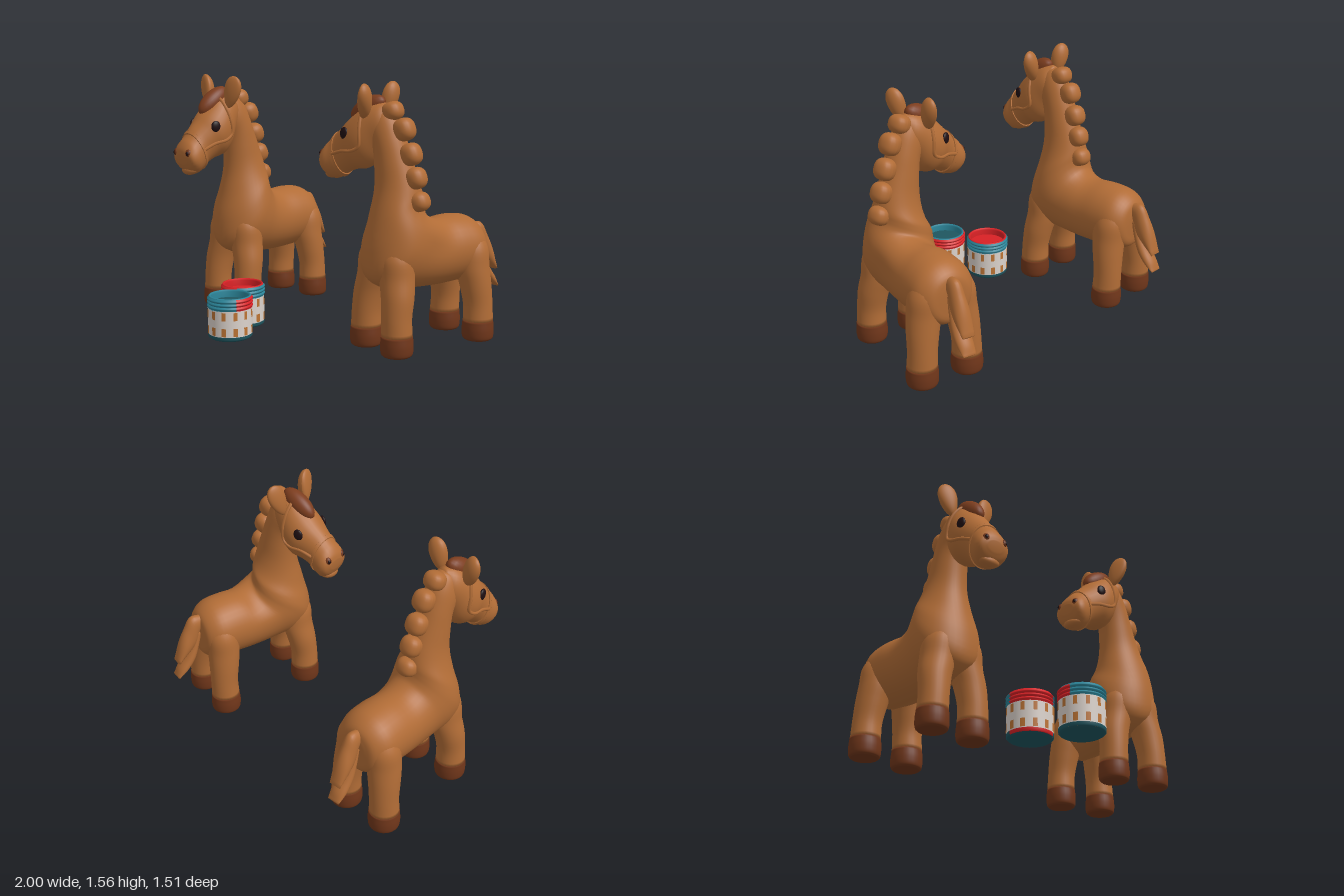
import * as THREE from 'three';

const paint = (name, hex) => {
  const m = new THREE.MeshStandardMaterial({ color: hex });
  m.name = name;
  return m;
};

// Curves through sections [topZ, topY, bottomZ, bottomY, halfWidth, centreX]
function sectionCurves(sections) {
  const top = new THREE.CatmullRomCurve3(sections.map(s => new THREE.Vector3(s[4], s[1], s[0])));
  const low = new THREE.CatmullRomCurve3(sections.map(s => new THREE.Vector3(s[5] || 0, s[3], s[2])));
  return { top, low };
}

// Point on a lofted skin: u along it, a around it (0 = top, PI = bottom)
function skinPoint({ top, low }, u, a, scale = 1) {
  const t = top.getPoint(u), b = low.getPoint(u);
  const c = Math.cos(a) * scale / 2;
  return new THREE.Vector3(
    b.x + Math.sin(a) * t.x * scale,
    (t.y + b.y) / 2 + c * (t.y - b.y),
    (t.z + b.z) / 2 + c * (t.z - b.z));
}

// Closed smooth skin over oval sections; optional bend moves each point
function loft(sections, { from = 0, to = 1, scale = 1, bend, sides = 28 } = {}) {
  const curves = sectionCurves(sections), steps = sections.length * 4, pos = [], idx = [];
  for (let i = -1; i <= steps + 1; i++) {
    const u = from + (to - from) * Math.min(Math.max(i, 0), steps) / steps;
    const s = i < 0 || i > steps ? 0 : scale;
    for (let j = 0; j < sides; j++) {
      const p = skinPoint(curves, u, j / sides * Math.PI * 2, s);
      if (bend) bend(p);
      pos.push(p.x, p.y, p.z);
    }
  }
  for (let i = 0; i < steps + 2; i++) for (let j = 0; j < sides; j++) {
    const a = i * sides + j, b = i * sides + (j + 1) % sides;
    idx.push(a, a + sides, b, b, a + sides, b + sides);
  }
  // Turn the faces outward whichever way the sections run
  const at = k => new THREE.Vector3().fromArray(pos, k * 3);
  let volume = 0;
  for (let k = 0; k < idx.length; k += 3) volume += at(idx[k]).dot(at(idx[k + 1]).cross(at(idx[k + 2])));
  if (volume < 0) idx.reverse();
  const g = new THREE.BufferGeometry();
  g.setAttribute('position', new THREE.Float32BufferAttribute(pos, 3));
  g.setIndex(idx);
  g.computeVertexNormals();
  return g;
}

function add(parent, name, geo, mat, p = [0, 0, 0], r = [0, 0, 0], s = [1, 1, 1]) {
  const m = new THREE.Mesh(geo, mat);
  m.name = name;
  m.position.set(...p); m.rotation.set(...r); m.scale.set(...s);
  parent.add(m);
}

// Unit ball with its points moved by a rule
function shapedBall(rule) {
  const g = new THREE.SphereGeometry(1, 24, 16), p = g.attributes.position, v = new THREE.Vector3();
  for (let i = 0; i < p.count; i++) {
    rule(v.fromBufferAttribute(p, i));
    p.setXYZ(i, v.x, v.y, v.z);
  }
  g.computeVertexNormals();
  return g;
}

// Group that turns its contents about a point
function pivot(parent, name, p, rx, ry) {
  const outer = new THREE.Group(), inner = new THREE.Group();
  outer.name = name;
  outer.position.set(...p); outer.rotation.set(rx, ry, 0);
  inner.position.set(-p[0], -p[1], -p[2]);
  outer.add(inner); parent.add(outer);
  return inner;
}

const AXIS = 0.03; // z of the upright axis the neck turns about

const TRUNK = [
  [-.575, .62, -.575, .48, .06], [-.555, .69, -.565, .40, .135], [-.48, .745, -.5, .36, .188],
  [-.36, .76, -.36, .35, .195], [-.22, .755, -.2, .345, .19], [-.145, .79, -.02, .355, .195],
  [-.125, .83, .14, .375, .21], [-.12, .865, .23, .44, .212], [-.118, .9, .238, .6, .192],
  [-.11, .95, .2, .78, .15], [-.09, 1.02, .175, .92, .122], [-.045, 1.14, .175, 1.06, .108],
  [0, 1.26, .19, 1.17, .1], [.05, 1.37, .24, 1.25, .09], [.11, 1.43, .26, 1.32, .065], [.16, 1.43, .24, 1.38, .03]];

const HEAD = [
  [.55, 1.06, .535, 1.0, .05], [.545, 1.1, .505, .955, .096], [.525, 1.14, .455, .93, .11],
  [.495, 1.175, .405, .95, .106], [.465, 1.215, .365, .985, .102], [.425, 1.26, .3, 1.02, .116],
  [.385, 1.31, .23, 1.04, .135], [.335, 1.36, .18, 1.09, .135], [.28, 1.41, .14, 1.18, .115],
  [.2, 1.44, .1, 1.27, .085], [.14, 1.44, .1, 1.36, .03]];

const TAIL_UPPER = [
  [-.54, .68, -.55, .58, .035], [-.62, .685, -.57, .56, .042], [-.67, .61, -.595, .49, .048],
  [-.712, .52, -.65, .44, .052], [-.75, .39, -.735, .375, .04]];
const TAIL_LOWER = [
  [-.6, .6, -.56, .55, .035], [-.645, .48, -.585, .47, .045], [-.69, .4, -.62, .38, .052],
  [-.738, .33, -.68, .31, .052], [-.76, .275, -.75, .265, .042]];

// Leg section at height y: centre x and z, radius
const ring = (y, x, z, r) => [z + r, y, z - r, y, r, x];

function makeHorse(mats, yaw, turn, pitch) {
  const { coat, hoof, hair, dark } = mats;
  const horse = new THREE.Group();
  horse.rotation.y = yaw;
  const body = new THREE.Group();
  body.name = 'body';
  body.position.z = -AXIS;
  horse.add(body);

  // Trunk and neck in one skin, the neck twisting with height ahead of the back
  const step = THREE.MathUtils.smoothstep;
  add(body, 'trunkAndNeck', loft(TRUNK, {
    sides: 36,
    bend: p => {
      const a = turn * step(p.y, .58, .95) * step(p.z, -.3, -.06 - .1 * step(p.y, .75, .9));
      const x = p.x, z = p.z - AXIS;
      p.x = x * Math.cos(a) + z * Math.sin(a);
      p.z = AXIS - x * Math.sin(a) + z * Math.cos(a);
    }
  }), coat);
  add(body, 'tailUpperLock', loft(TAIL_UPPER), coat);
  add(body, 'tailLowerLock', loft(TAIL_LOWER), coat);

  // Legs and hooves
  for (const side of [-1, 1]) for (const [name, x, z, lean, inset] of [['front', .145, .142, -.03, .042], ['hind', .152, -.482, .025, .034]]) {
    const X = x * side, top = (x - inset) * side;
    add(body, name + 'Hoof', loft([ring(0, X, z, .08), ring(.012, X, z, .092),
      ring(.06, X, z, .097), ring(.12, X, z, .092)]), hoof);
    add(body, name + 'Leg', loft([ring(.118, X, z, .091), ring(.22, X * .97, z, .089), ring(.34, X * .89, z + lean / 2, .097),
      ring(.45, top, z + lean, .104), ring(.57, top * .88, z + lean, .1), ring(.69, top * .65, z + lean, .05)]), coat);
  }

  const neck = pivot(body, 'neckTurn', [0, 0, AXIS], 0, turn);
  const ball = new THREE.SphereGeometry(1, 24, 16);

  // Mane of cushion-shaped tufts
  const cushion = shapedBall(v => v.divideScalar((Math.abs(v.x) ** 2.5 + Math.abs(v.y) ** 2.5 + Math.abs(v.z) ** 2.5) ** .4));
  for (const [y, z, r] of [[.885, -.12, .057], [1.02, -.095, .064], [1.155, -.06, .066], [1.295, -.012, .067], [1.395, .07, .056]])
    add(neck, 'maneTuft', cushion, coat, [0, y, z], [.35, 0, 0], [.064, r, .061]);

  // Head
  const head = pivot(neck, 'head', [0, 1.12, .15], -pitch, 0);
  add(head, 'skull', loft(HEAD), coat);
  add(head, 'lowerLip', ball, coat, [0, .965, .47], [.5, 0, 0], [.07, .035, .05]);
  add(head, 'forelock', ball, hair, [0, 1.387, .28], [.62, 0, 0], [.06, .066, .13]);
  add(head, 'noseband', loft(HEAD, { from: .33, to: .375, scale: 1.06 }), coat);

  // Cupped ear, broad near the tip
  const ear = shapedBall(v => {
    v.x *= 1 + .28 * v.y;
    if (v.z > 0) v.z *= .5;
  });

  const skin = sectionCurves(HEAD);
  for (const s of [-1, 1]) {
    add(head, 'ear', ear, coat, [s * .13, 1.447, .232], [0, s * .25, -s * .28], [.057, .106, .052]);
    add(head, 'eye', ball, dark, [s * .116, 1.235, .352], [0, -s * .25, 0], [.015, .036, .031]);
    add(head, 'nostril', ball, hoof, [s * .064, 1.075, .534], [-.25, s * .6, 0], [.02, .024, .014]);
    add(head, 'nostrilHole', ball, dark, [s * .066, 1.073, .542], [-.25, s * .6, 0], [.011, .014, .01]);
    // Halter strap from the noseband along the cheek and up behind the ear
    const path = [[3.6, 1.5], [5, 1.68], [6.2, 1.85], [7, 1.9], [7.5, 1.5], [7.85, 1], [8.1, .5], [8.2, 0]]
      .map(([t, a]) => skinPoint(skin, t / 10, a * s, 1.01));
    add(head, 'halterStrap', new THREE.TubeGeometry(new THREE.CatmullRomCurve3(path), 40, .011, 6), coat);
  }
  return horse;
}

// Open paint pot; the outside of its rim is one colour over the front arc, another behind
function makePot({ front, back, baseFront, fill, deep, label, mark, start, arc, marks }) {
  const pot = new THREE.Group(), R = .135;
  const lathe = (pts, from = 0, length = Math.PI * 2) =>
    new THREE.LatheGeometry(pts.map(p => new THREE.Vector2(...p)), 40, from, length);
  const collar = [[R, .188]];
  for (let i = 0; i < 3; i++) collar.push([.131, .192 + i * .022], [.139, .2 + i * .022], [.139, .206 + i * .022], [.131, .213 + i * .022]);
  collar.push([.13, .26]);
  add(pot, 'bottom', lathe([[0, 0], [.118, 0], [.13, .008]]), deep);
  for (const [part, rim, base, from, length] of [
    ['front', front, baseFront, start, arc], ['back', back, deep, start + arc, Math.PI * 2 - arc]]) {
    add(pot, part + 'Collar', lathe(collar, from, length), rim);
    add(pot, part + 'BaseRim', lathe([[.13, .008], [R, .014], [R, .03]], from, length), base);
  }
  add(pot, 'lip', lathe([[.13, .26], [.127, .265], [.119, .265], [.114, .255], [.113, .215]]), front);
  add(pot, 'label', new THREE.CylinderGeometry(R, R, .16, 48, 1, true), label, [0, .11, 0]);
  add(pot, 'paint', new THREE.CircleGeometry(.116, 48), fill, [0, .22, 0], [-Math.PI / 2, 0, 0]);
  // Label marks: [angle, width, height, y]
  for (const [a, w, h, y] of marks)
    add(pot, 'labelMark', new THREE.CylinderGeometry(R + .002, R + .002, h, 6, 1, true, a - w / 2, w), mark, [0, y, 0]);
  return pot;
}

export function createModel() {
  const model = new THREE.Group();
  const mats = {
    coat: paint('coat brown', 0xb16c36), hoof: paint('hoof brown', 0x70361a),
    hair: paint('forelock brown', 0x7c3d1e), dark: paint('eye black', 0x1f0f12)
  };
  const red = paint('red', 0xd82125), teal = paint('teal', 0x2b8498), deep = paint('deep teal', 0x1f5660);
  const marks = [];
  for (let i = 0; i < 12; i++) marks.push([i * Math.PI / 6 + .08, .17, .05, .158], [i * Math.PI / 6 + .08, .2, .05, .06]);
  const shared = { deep, label: paint('label white', 0xdcd3cc), mark: paint('mark orange', 0xbd7434) };
  const seam = [.72, .26, .158, .11];

  const place = (part, name, x, z) => {
    part.name = name;
    part.position.set(x, 0, z);
    model.add(part);
  };
  place(makeHorse(mats, .09, -.09, 0), 'forwardLookingHorse', -.713, .035);
  place(makeHorse(mats, -.14, -1.28, .13), 'sidewaysLookingHorse', .678, .028);
  place(makePot({ ...shared, front: red, back: teal, baseFront: red, fill: red, start: -1.66, arc: 2.27, marks: [...marks, seam] }), 'redPot', -.33, .37);
  place(makePot({ ...shared, front: teal, back: red, baseFront: deep, fill: deep, start: -1.19, arc: 2.37, marks }), 'tealPot', -.155, .615);
  return model;
}
